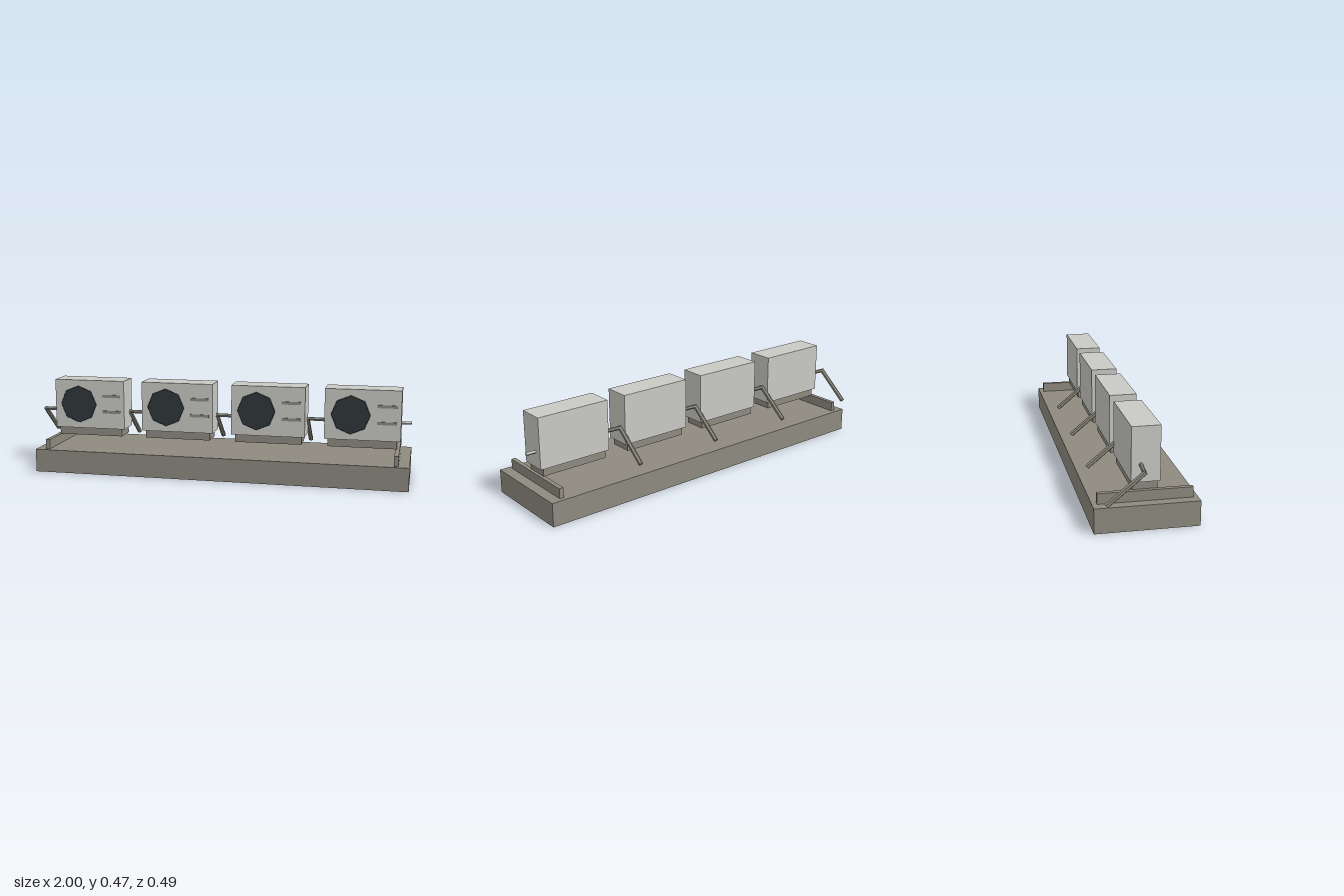
import * as THREE from 'three';

const material = (name, color) => {
  const m = new THREE.MeshStandardMaterial({ color });
  m.name = name;
  return m;
};

export function createModel() {
  const casing = material('pale casing', 0xc9cac5);
  const concrete = material('warm grey', 0x8e8a80);
  const dark = material('dark fan', 0x2f383a);
  const model = new THREE.Group();
  model.name = 'condenserRow';

  const add = (parent, name, geometry, mat, x = 0, y = 0, z = 0) => {
    const mesh = new THREE.Mesh(geometry, mat);
    mesh.name = name;
    mesh.position.set(x, y, z);
    parent.add(mesh);
    return mesh;
  };
  const box = (parent, name, mat, w, h, d, x, y, z) =>
    add(parent, name, new THREE.BoxGeometry(w, h, d), mat, x, y, z);

  // Straight faceted pipe between two points
  const pipe = (parent, name, mat, a, b, radius, sides) => {
    const from = new THREE.Vector3(...a), to = new THREE.Vector3(...b);
    const dir = to.clone().sub(from);
    const geo = new THREE.CylinderGeometry(radius, radius, dir.length(), sides).toNonIndexed();
    geo.computeVertexNormals();
    const mesh = add(parent, name, geo, mat);
    mesh.position.copy(from).add(to).multiplyScalar(0.5);
    mesh.quaternion.setFromUnitVectors(new THREE.Vector3(0, 1, 0), dir.normalize());
  };

  // Slab and the two end rails
  box(model, 'baseSlab', concrete, 1.94, 0.12, 0.486, 0.03, 0.06, 0);
  for (const x of [-0.88, 0.935])
    box(model, 'endRail', concrete, 0.022, 0.05, 0.44, x, 0.145, 0);

  // Four identical outdoor units
  for (let i = 0; i < 4; i++) {
    const unit = new THREE.Group();
    unit.name = 'unit' + (i + 1);
    unit.position.x = -0.697 + i * 0.4843;
    model.add(unit);

    box(unit, 'housing', casing, 0.385, 0.26, 0.134, 0, 0.34, 0);
    box(unit, 'foot', concrete, 0.35, 0.04, 0.117, 0, 0.19, 0);

    // Eight-sided fan and its rim
    const disc = new THREE.CylinderGeometry(0.096, 0.096, 0.004, 8).rotateX(Math.PI / 2);
    add(unit, 'fan', disc, dark, -0.06, 0.34, 0.0725);
    const rim = new THREE.TorusGeometry(0.097, 0.003, 4, 8).rotateZ(Math.PI / 2);
    add(unit, 'fanRim', rim, dark, -0.06, 0.34, 0.073);

    // Vent slots
    for (const y of [0.301, 0.387])
      box(unit, 'vent', concrete, 0.1, 0.015, 0.004, 0.122, y, 0.069);

    // Short stub on one side, drain hose bending down and back on the other
    pipe(unit, 'stub', casing, [0.18, 0.291, -0.028], [0.244, 0.291, -0.028], 0.008, 4);
    pipe(unit, 'hoseTop', concrete, [-0.18, 0.292, -0.022], [-0.292, 0.292, -0.03], 0.01, 6);
    pipe(unit, 'hoseDrop', concrete, [-0.29, 0.294, -0.024], [-0.29, 0.15, -0.196], 0.012, 6);
  }
  return model;
}
